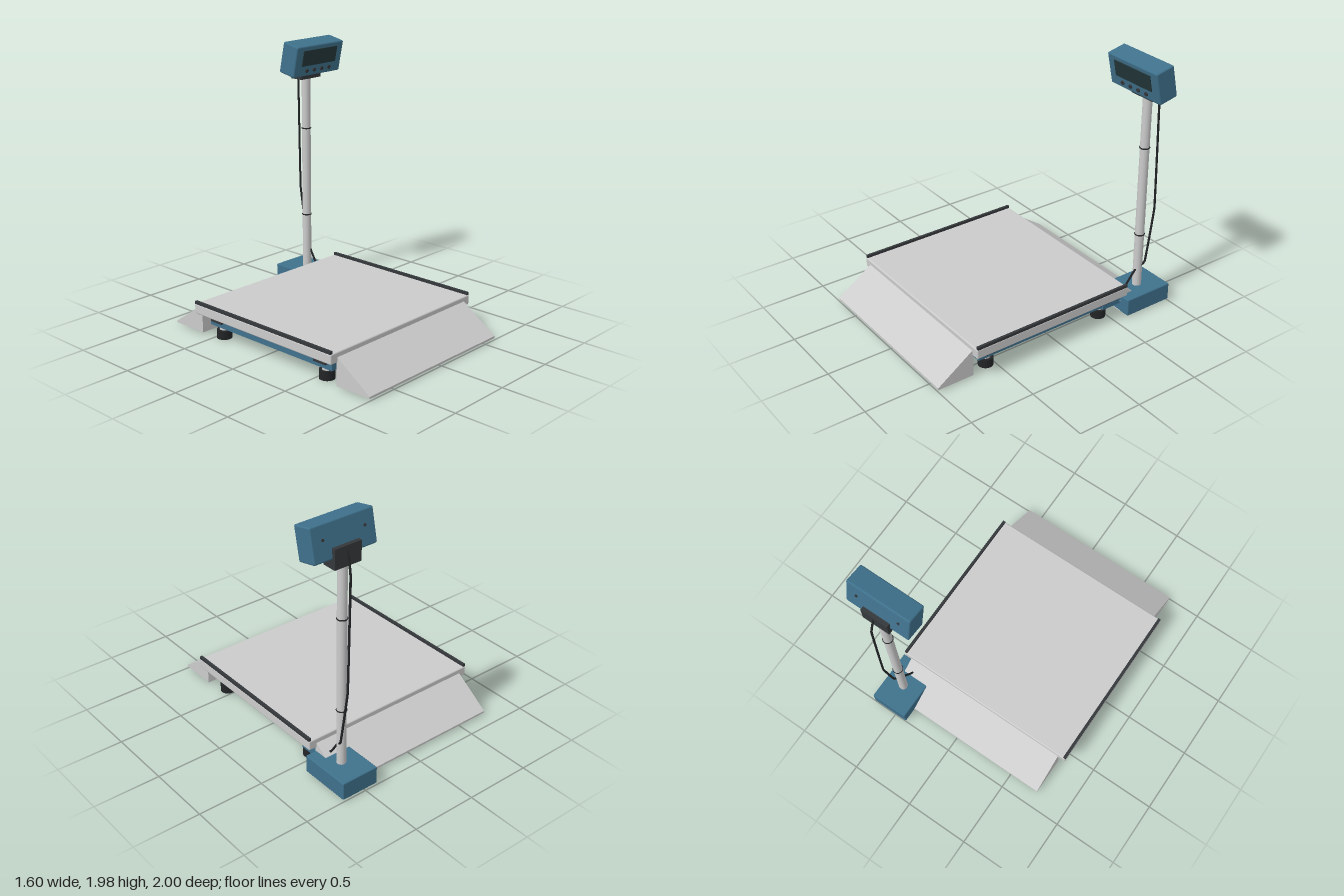
import * as THREE from 'three';
import { RoundedBoxGeometry } from 'three/addons/geometries/RoundedBoxGeometry.js';

const material = (color) => new THREE.MeshStandardMaterial({ color });
const steel = material(0xcccccc);
const blue = material(0x3f718c);
const dark = material(0x35383b);
const rubber = material(0x222426);
const glass = material(0x24383a);

function add(parent, name, geometry, mat, x, y, z) {
  const mesh = new THREE.Mesh(geometry, mat);
  mesh.name = name;
  mesh.position.set(x, y, z);
  parent.add(mesh);
  return mesh;
}

const box = (w, h, d) => new THREE.BoxGeometry(w, h, d);
const softBox = (w, h, d, r) => new RoundedBoxGeometry(w, h, d, 2, r);
const cylinder = (r, h, sides = 24) => new THREE.CylinderGeometry(r, r, h, sides);

// Wedge ramp, high at local z = 0 and thin at local z = length
function rampGeometry(width, length, height) {
  const profile = new THREE.Shape();
  profile.moveTo(0, 0);
  profile.lineTo(length, 0);
  profile.lineTo(length, 0.015);
  profile.lineTo(0, height);
  profile.closePath();
  const geometry = new THREE.ExtrudeGeometry(profile, { depth: width, bevelEnabled: false });
  geometry.translate(0, 0, -width / 2);
  geometry.rotateY(-Math.PI / 2);
  return geometry;
}

function buildPlatform() {
  const group = new THREE.Group();
  group.name = 'platform';
  group.position.set(-0.065, 0, 0.055);

  add(group, 'deck', softBox(1.474, 0.075, 1.33, 0.01), steel, 0, 0.2175, 0);
  for (const side of [-1, 1]) {
    add(group, 'sideRail', box(0.02, 0.022, 1.32), dark, side * 0.727, 0.264, 0);
  }

  // Rectangular tube frame under the deck
  const tube = 0.1;
  for (const side of [-1, 1]) {
    add(group, 'frameSideTube', box(tube, 0.05, 1.19), blue, side * 0.6, 0.115, 0);
    add(group, 'frameCrossTube', box(1.1, 0.05, tube), blue, 0, 0.115, side * 0.545);
  }

  // Load cell and adjustable foot at each corner
  for (const sx of [-1, 1]) {
    for (const sz of [-1, 1]) {
      const x = sx * 0.6, z = sz * 0.505;
      add(group, 'loadCell', box(0.16, 0.05, 0.11), dark, x, 0.157, z);
      add(group, 'footStem', cylinder(0.035, 0.04), steel, x, 0.08, z);
      add(group, 'foot', cylinder(0.056, 0.065), rubber, x, 0.0325, z);
    }
  }
  return group;
}

function buildColumn() {
  const group = new THREE.Group();
  group.name = 'column';
  const x = 0.552, z = -0.805;

  add(group, 'columnBase', softBox(0.295, 0.135, 0.4, 0.008), blue, 0.5475, 0.0825, -0.8);
  add(group, 'baseArm', box(0.11, 0.055, 0.18), blue, 0.545, 0.108, -0.53);
  add(group, 'post', cylinder(0.034, 1.54, 32), steel, x, 0.92, z);
  for (const y of [0.58, 1.28]) {
    const ring = add(group, 'postRing', new THREE.TorusGeometry(0.034, 0.005, 8, 32), rubber, x, y, z);
    ring.rotation.x = Math.PI / 2;
  }
  // Bracket holding the display head
  add(group, 'bracketBase', box(0.21, 0.085, 0.11), dark, x, 1.72, z);
  add(group, 'bracketBack', box(0.21, 0.14, 0.03), dark, x, 1.753, -0.847);
  return group;
}

function buildDisplayHead() {
  const head = new THREE.Group();
  head.name = 'displayHead';
  head.position.set(0.55, 1.85, -0.741);
  head.rotation.x = 0.21; // face leans forward

  const w = 0.5, h = 0.242, d = 0.155;
  add(head, 'housing', softBox(w, h, d, 0.012), blue, 0, 0, 0);
  add(head, 'screen', box(0.36, 0.122, 0.012), glass, 0, 0.026, d / 2);
  for (let i = 0; i < 4; i++) {
    const button = add(head, 'button', cylinder(0.015, 0.02, 16), dark, -0.12 + i * 0.08, -0.075, d / 2);
    button.rotation.x = Math.PI / 2;
  }
  for (const side of [-1, 1]) {
    const screw = add(head, 'backScrew', cylinder(0.01, 0.014, 12), dark, side * 0.165, 0.02, -d / 2);
    screw.rotation.x = Math.PI / 2;
  }
  return head;
}

// Cable from the bracket down beside the post to the platform
function buildCable() {
  const points = [
    [0.56, 1.8, -0.845], [0.56, 1.76, -0.87], [0.567, 1.62, -0.902], [0.585, 0.78, -0.905],
    [0.588, 0.35, -0.84], [0.56, 0.28, -0.77], [0.55, 0.165, -0.69], [0.545, 0.148, -0.58], [0.5, 0.145, -0.45],
  ].map((p) => new THREE.Vector3(...p));
  const path = new THREE.CatmullRomCurve3(points, false, 'catmullrom', 0.1);
  const cable = new THREE.Mesh(new THREE.TubeGeometry(path, 120, 0.008, 8), rubber);
  cable.name = 'cable';
  return cable;
}

export function createModel() {
  const model = new THREE.Group();
  model.name = 'platformScale';
  model.add(buildPlatform(), buildColumn(), buildDisplayHead(), buildCable());

  // Entry and exit ramps
  add(model, 'frontRamp', rampGeometry(1.35, 0.288, 0.21), steel, -0.065, 0.015, 0.712);
  const backRamp = add(model, 'backRamp', rampGeometry(1.35, 0.285, 0.21), steel, -0.065, 0.015, -0.6);
  backRamp.rotation.y = Math.PI;
  return model;
}
